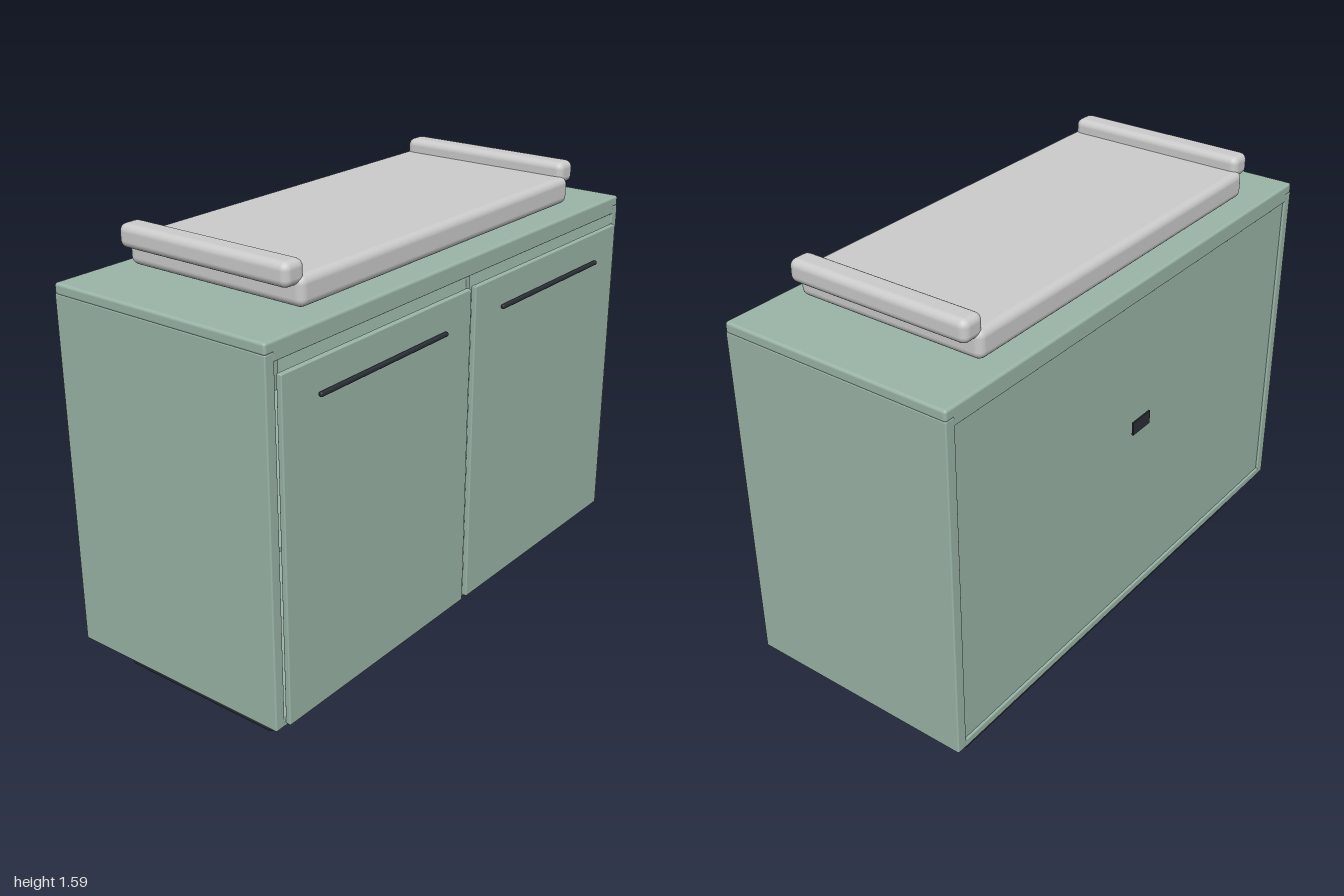
import * as THREE from 'three';
import { RoundedBoxGeometry } from 'three/addons/geometries/RoundedBoxGeometry.js';

const green = new THREE.MeshStandardMaterial({ color: 0x9bb5a8 });
const dark = new THREE.MeshStandardMaterial({ color: 0x2a3036 });
const grey = new THREE.MeshStandardMaterial({ color: 0xcccccc });

export function createModel() {
  const model = new THREE.Group();
  model.name = 'changingCabinet';

  // Rounded block given by its extents on each axis
  function block(name, material, [x0, x1], [y0, y1], [z0, z1], radius) {
    const geometry = new RoundedBoxGeometry(x1 - x0, y1 - y0, z1 - z0, 3, radius);
    const mesh = new THREE.Mesh(geometry, material);
    mesh.position.set((x0 + x1) / 2, (y0 + y1) / 2, (z0 + z1) / 2);
    mesh.name = name;
    model.add(mesh);
  }

  const depth = [-0.443, 0.425];

  // Recessed base
  block('plinth', dark, [-0.88, 0.88], [0, 0.14], [-0.365, 0.295], 0.02);

  // Carcass: open at the front, panel set into the back
  block('bottomPanel', green, [-0.965, 0.965], [0.14, 0.17], depth, 0.004);
  block('topRail', green, [-0.965, 0.965], [1.36, 1.4], depth, 0.004);
  block('topSlab', green, [-1, 1], [1.385, 1.425], depth, 0.01);
  block('backPanel', green, [-0.965, 0.965], [0.16, 1.37], [-0.435, -0.415], 0.003);
  block('divider', green, [-0.012, 0.012], [0.16, 1.37], [-0.42, 0.42], 0.003);
  block('shelf', green, [-0.965, 0.965], [0.73, 0.75], [-0.42, 0.39], 0.003);

  // Rear latch plate
  block('rearLatch', dark, [-0.052, 0.052], [0.86, 0.912], [-0.456, -0.449], 0.002);

  // Padded mat
  block('mat', grey, [-0.753, 0.753], [1.435, 1.535], [-0.37, 0.35], 0.028);

  // Parts mirrored on both sides
  for (const [side, s] of [['left', 1], ['right', -1]]) {
    const span = (a, b) => (s > 0 ? [a, b] : [-b, -a]);
    block(side + 'SidePanel', green, span(0.96, 1), [0.14, 1.39], depth, 0.005);
    block(side + 'Door', green, span(0.013, 0.957), [0.15, 1.325], [0.425, 0.445], 0.004);
    block(side + 'DoorHandle', dark, span(0.163, 0.803), [1.208, 1.224], [0.447, 0.462], 0.006);
    block(side + 'Bolster', grey, span(0.715, 0.805), [1.505, 1.585], [-0.357, 0.337], 0.026);
  }

  return model;
}
